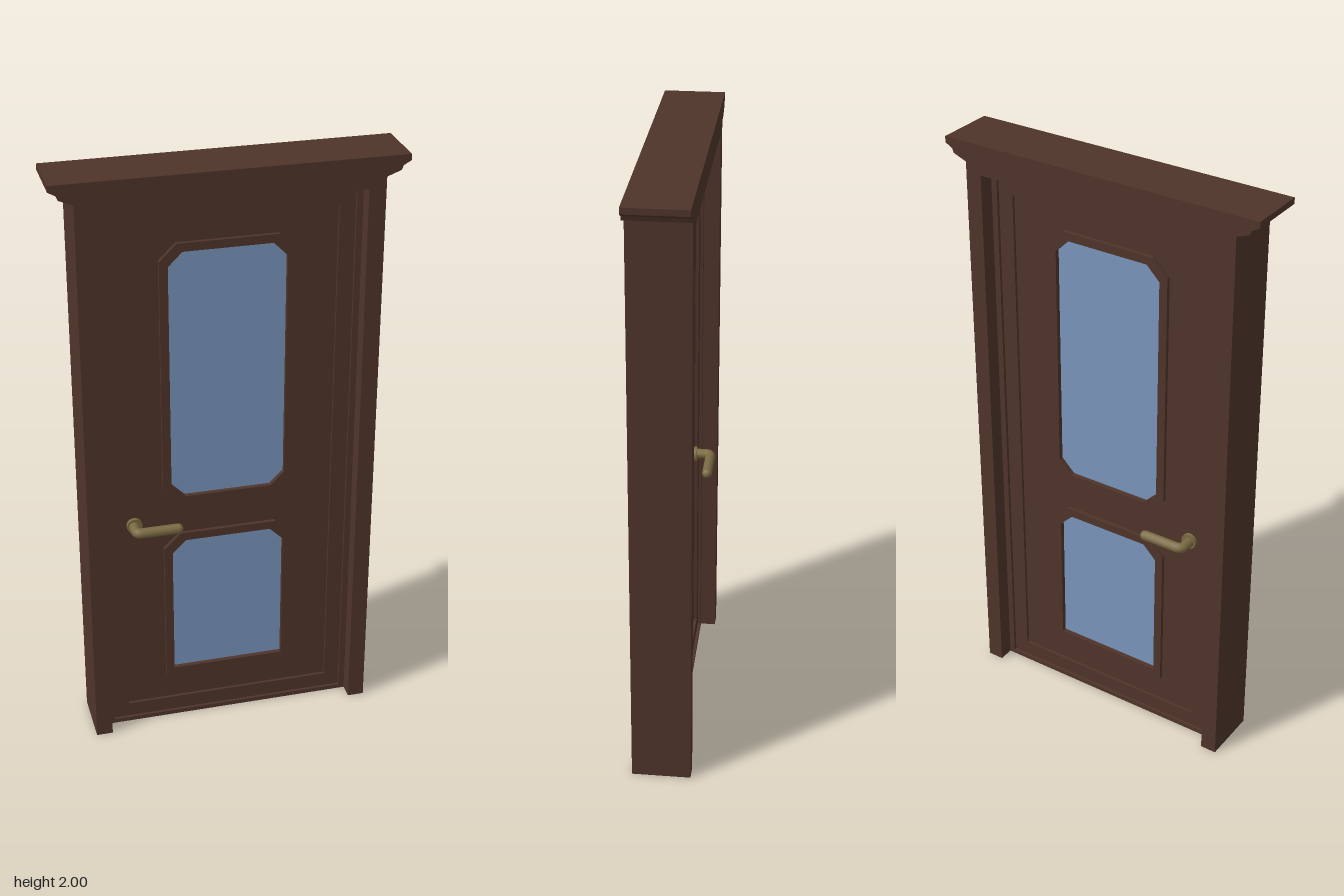
import * as THREE from 'three';

const wood = new THREE.MeshStandardMaterial({ color: 0x4e342a });
const glass = new THREE.MeshStandardMaterial({ color: 0x7a95bc });
const brass = new THREE.MeshStandardMaterial({ color: 0x7a6a42 });

const outline = (pts) => pts.map(([x, y]) => new THREE.Vector2(x, y));
const rect = (w, y0, y1) => outline([[-w, y0], [w, y0], [w, y1], [-w, y1]]);

// Rectangle with cut corners; c0 cuts the bottom pair, c1 the top pair
function chamfered(w, y0, y1, c0, c1) {
  const pts = c0 ? [[-w, y0 + c0], [-w + c0, y0], [w - c0, y0], [w, y0 + c0]] : [[-w, y0], [w, y0]];
  pts.push([w, y1 - c1], [w - c1, y1], [-w + c1, y1], [-w, y1 - c1]);
  return outline(pts);
}

// Flat part extruded evenly to both sides of z = 0
function slab(name, pts, holes, halfDepth, material = wood) {
  const shape = new THREE.Shape(pts);
  holes.forEach((h) => shape.holes.push(new THREE.Path(h)));
  const geo = new THREE.ExtrudeGeometry(shape, { depth: halfDepth * 2, bevelEnabled: false });
  geo.translate(0, 0, -halfDepth);
  const mesh = new THREE.Mesh(geo, material);
  mesh.name = name;
  return mesh;
}

// Rose, neck and lever for one face
function createHandle() {
  const handle = new THREE.Group();
  const add = (geo, name, x, z) => {
    const mesh = new THREE.Mesh(geo, brass);
    mesh.name = name;
    mesh.position.set(x, 0.78, z);
    handle.add(mesh);
  };
  add(new THREE.CylinderGeometry(0.026, 0.026, 0.012, 20).rotateX(Math.PI / 2), 'rose', -0.315, 0.031);

  const r = 0.017;
  const path = new THREE.CurvePath();
  const v = (x, z) => new THREE.Vector3(x, 0, z);
  path.add(new THREE.LineCurve3(v(-0.318, 0.03), v(-0.318, 0.066)));
  path.add(new THREE.QuadraticBezierCurve3(v(-0.318, 0.066), v(-0.318, 0.084), v(-0.3, 0.084)));
  path.add(new THREE.LineCurve3(v(-0.3, 0.084), v(-0.18, 0.084)));
  add(new THREE.TubeGeometry(path, 32, r, 12), 'lever', 0, 0);
  add(new THREE.SphereGeometry(r, 12, 8), 'leverTip', -0.18, 0.084);
  return handle;
}

export function createModel() {
  const model = new THREE.Group();
  model.name = 'door';

  // Outer frame, open at the floor
  model.add(slab('frame', outline([
    [-0.48, 0], [-0.425, 0], [-0.425, 1.9], [0.425, 1.9],
    [0.425, 0], [0.48, 0], [0.48, 1.945], [-0.48, 1.945],
  ]), [], 0.097));

  // Cornice profile flares sideways only
  const half = [[0.48, 1.935], [0.525, 1.952], [0.53, 1.966], [0.555, 1.98], [0.555, 2]];
  model.add(slab('cornice', outline([...half, ...half.map(([x, y]) => [-x, y]).reverse()]), [], 0.099));

  // Door stop and stepped leaf
  model.add(slab('doorStop', rect(0.425, 0, 1.9), [rect(0.405, 0.015, 1.88)], 0.045));
  model.add(slab('leafBorder', rect(0.405, 0.015, 1.88), [rect(0.353, 0.066, 1.83)], 0.035));

  // Two windows: bottom, top, and corner cuts
  const windows = [
    { name: 'upper', y0: 0.843, y1: 1.758, c0: 0.055, c1: 0.055 },
    { name: 'lower', y0: 0.163, y1: 0.73, c0: 0, c1: 0.055 },
  ];
  const outer = windows.map((w) => chamfered(0.218, w.y0, w.y1, w.c0, w.c1));
  model.add(slab('leafPanel', rect(0.353, 0.066, 1.83), outer, 0.025));
  windows.forEach((w, i) => {
    const inner = chamfered(0.19, w.y0 + 0.028, w.y1 - 0.028, w.c0 && 0.046, 0.046);
    model.add(slab(w.name + 'Moulding', outer[i], [inner], 0.038));
    model.add(slab(w.name + 'Glass', inner, [], 0.022, glass));
  });

  // Handles on both faces, mirrored through the leaf
  const front = createHandle();
  front.name = 'frontHandle';
  const back = createHandle();
  back.name = 'backHandle';
  back.scale.z = -1;
  model.add(front, back);
  return model;
}
